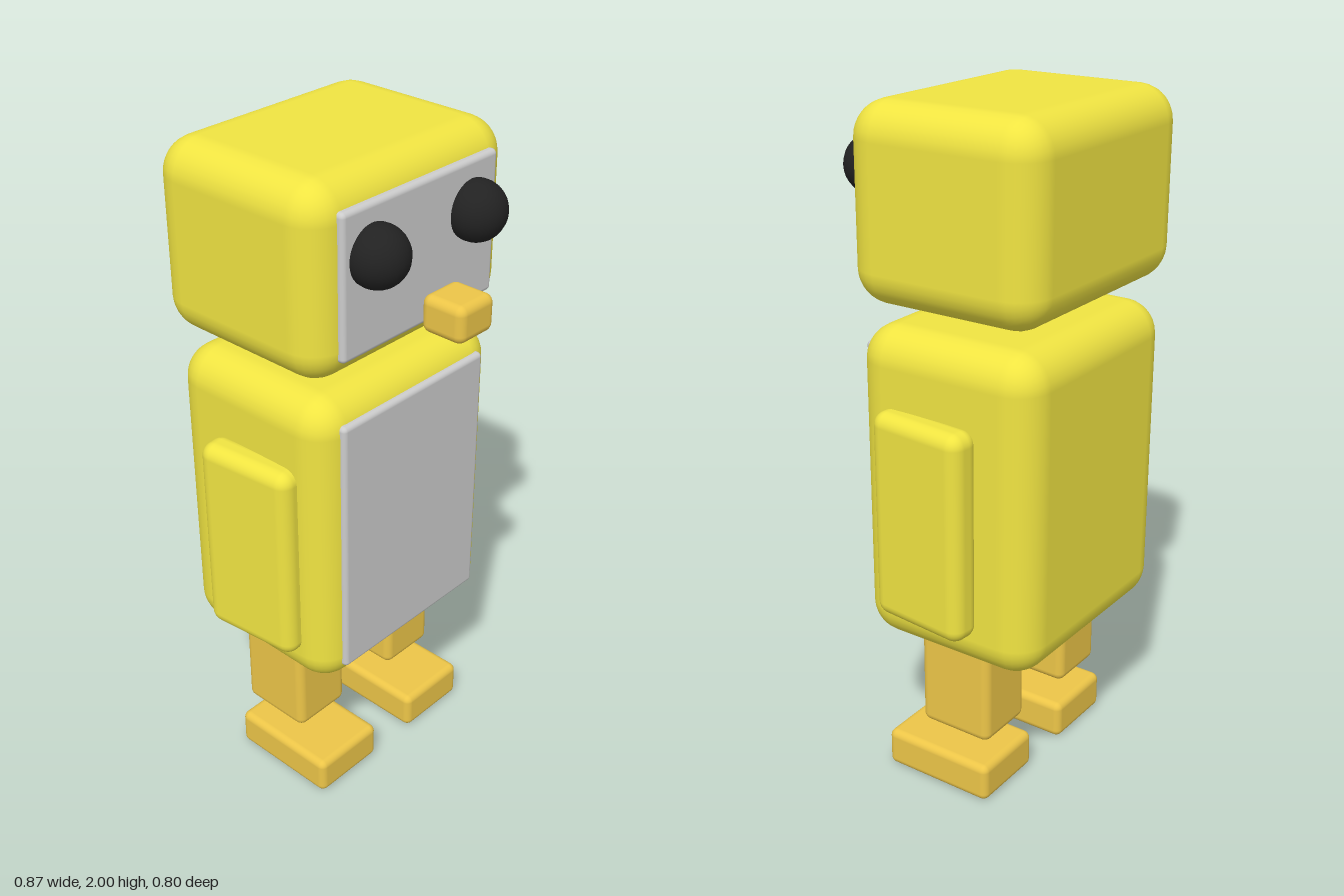
import * as THREE from 'three';
import { RoundedBoxGeometry } from 'three/addons/geometries/RoundedBoxGeometry.js';

const material = (color) => new THREE.MeshStandardMaterial({ color });

export function createModel() {
  const model = new THREE.Group();
  const yellow = material(0xf0e442);
  const orange = material(0xecc548);
  const grey = material(0xcccccc);
  const black = material(0x222222);

  // Rounded block from its size and centre
  function block(name, size, centre, radius, mat, segments = 4) {
    const mesh = new THREE.Mesh(new RoundedBoxGeometry(...size, segments, radius), mat);
    mesh.name = name;
    mesh.position.set(...centre);
    model.add(mesh);
    return mesh;
  }

  // Head and body, with their front panels
  block('head', [0.756, 0.54, 0.592], [0, 1.73, -0.104], 0.1, yellow);
  block('facePanel', [0.59, 0.404, 0.05], [0, 1.731, 0.182], 0.014, grey);
  block('body', [0.716, 0.94, 0.576], [0, 0.931, -0.1], 0.1, yellow);
  block('bellyPanel', [0.57, 0.806, 0.05], [0, 0.932, 0.174], 0.014, grey);

  // Beak, floating in front of the face
  block('beak', [0.138, 0.106, 0.137], [0, 1.611, 0.328], 0.025, orange);

  for (const [side, s] of [['left', 1], ['right', -1]]) {
    // Eye
    const eye = new THREE.Mesh(new THREE.SphereGeometry(0.084, 24, 16), black);
    eye.name = side + 'Eye';
    eye.position.set(s * 0.19, 1.8, 0.226);
    model.add(eye);

    // Wing, turned so that its rear edge stands out
    const wing = block(side + 'Wing', [0.1, 0.614, 0.312], [s * 0.374, 0.882, -0.063], 0.04, yellow);
    wing.rotation.y = -s * 0.1;

    // Leg and separate foot
    block(side + 'Leg', [0.195, 0.33, 0.235], [s * 0.199, 0.352, -0.098], 0.025, orange);
    block(side + 'Foot', [0.245, 0.117, 0.357], [s * 0.198, 0.0605, -0.048], 0.022, orange);
  }

  return model;
}
